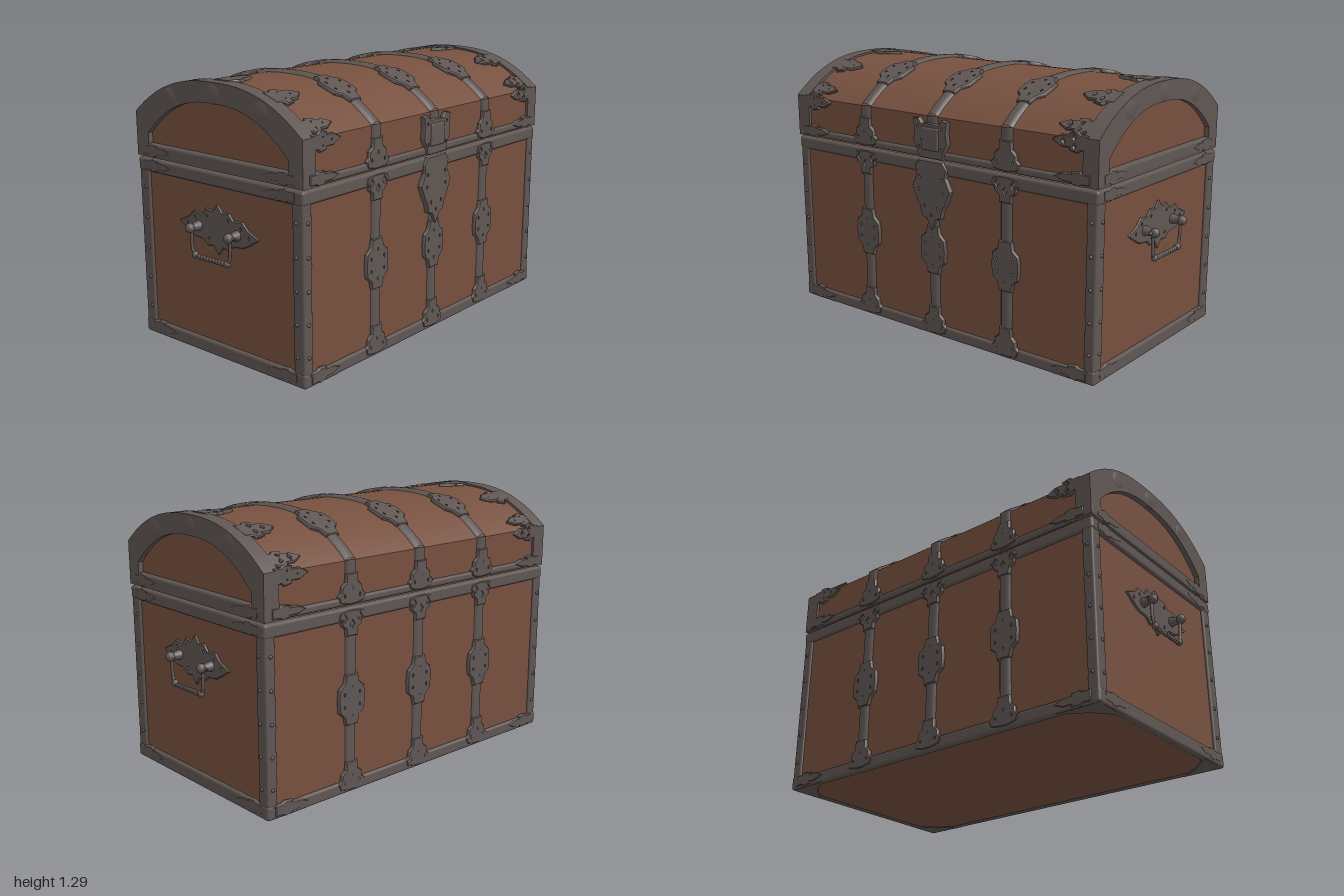
import * as THREE from 'three';
import { toCreasedNormals } from 'three/addons/utils/BufferGeometryUtils.js';
import { RoundedBoxGeometry } from 'three/addons/geometries/RoundedBoxGeometry.js';

const wood = new THREE.MeshStandardMaterial({ color: 0x76503f });
wood.name = 'brown wood';
const iron = new THREE.MeshStandardMaterial({ color: 0x5f5653, side: THREE.DoubleSide });
iron.name = 'dark iron';

const X = 0.915, Z = 0.517; // wooden half width and half depth

// Height of the lid's arch at depth z
const arch = (z) => 1.09 + 0.185 * (1 - Math.min(1, Math.abs(z) / Z) ** 2.5);

// Each map places (u across, v up, d outward) on one face of the chest
const faces = {
  front: (u, v, d) => [u, v, Z + d],
  back: (u, v, d) => [-u, v, -Z - d],
  right: (u, v, d) => [X + d, v, -u],
  left: (u, v, d) => [-X - d, v, u],
  under: (u, v, d) => [u, 0.005 - d, v],
  lid: (u, v, d) => {
    const slope = (arch(-v + 0.005) - arch(-v - 0.005)) / 0.01;
    const k = d / Math.hypot(1, slope);
    return [u, arch(-v) + k, -v - slope * k];
  },
};

export function createModel() {
  const chest = new THREE.Group();
  chest.name = 'chest';

  const add = (name, geo, mat = iron, x = 0, y = 0, z = 0, parent = chest) => {
    const mesh = new THREE.Mesh(geo, mat);
    mesh.name = name;
    mesh.position.set(x, y, z);
    parent.add(mesh);
    return mesh;
  };

  // Bend a geometry from (u, v, d) space onto a face
  const onFace = (name, geo, face) => {
    const p = geo.attributes.position;
    for (let i = 0; i < p.count; i++) {
      p.setXYZ(i, ...faces[face](p.getX(i), p.getY(i), p.getZ(i)));
    }
    geo.computeVertexNormals();
    return add(name, toCreasedNormals(geo, 0.7));
  };

  // Domed strap running along v
  const strap = (name, face, u, v0, v1, width, bulge, steps = 1) => {
    const geo = new THREE.PlaneGeometry(width, v1 - v0, 6, steps);
    const p = geo.attributes.position;
    for (let i = 0; i < p.count; i++) {
      const k = p.getX(i) / (width / 2);
      p.setZ(i, bulge * (1 - k ** 4) - 0.003);
    }
    geo.translate(u, (v0 + v1) / 2, 0);
    return onFace(name, geo, face);
  };

  // Cut plate with small diamond holes
  const plate = (name, face, outline, holes, u, v, { sx = 1, sy = 1, depth = 0.012, hole = 0.011 } = {}) => {
    const shape = new THREE.Shape(outline.map(([a, b]) => new THREE.Vector2(a * sx, b * sy)));
    for (const [a, b] of holes) {
      const h = [[0, 1.4], [1, 0], [0, -1.4], [-1, 0]];
      shape.holes.push(new THREE.Path(h.map(([i, j]) =>
        new THREE.Vector2(a * sx + i * hole, b * sy + j * hole))));
    }
    const geo = new THREE.ExtrudeGeometry(shape, {
      depth, bevelThickness: 0.005, bevelSize: 0.004, bevelOffset: -0.004, bevelSegments: 1,
    });
    geo.translate(u, v, 0);
    return onFace(name, geo, face);
  };

  // Mirror helpers for outlines
  const mirrorU = (pts) => [...pts, ...pts.map(([a, b]) => [-a, b]).reverse()];
  const mirrorV = (pts) => [...pts, ...pts.map(([a, b]) => [a, -b]).reverse()];

  const medallion = mirrorU([[0.036, 0.12], [0.045, 0.08], [0.075, 0.055], [0.08, 0],
    [0.075, -0.055], [0.045, -0.08], [0.036, -0.12]]);
  const medallionHoles = [[0.046, 0.03], [-0.046, 0.03], [0.046, -0.03], [-0.046, -0.03], [0, 0.07], [0, -0.07]];
  const fan = mirrorU([[0.034, 0.13], [0.036, 0.09], [0.06, 0.07], [0.062, 0.045], [0.08, 0.03], [0.07, 0], [0.02, -0.01]]);
  const fanHoles = [[0.045, 0.03], [-0.045, 0.03], [0, 0.065]];
  const leaf = mirrorV([[-0.02, 0.045], [0.02, 0.045], [0.035, 0.062], [0.08, 0.05], [0.075, 0.035],
    [0.12, 0.035], [0.165, 0.003]]);
  const leafHoles = [[0.05, 0.025], [0.05, -0.025], [0.105, 0]];

  // Wooden body and arched lid
  add('body', new THREE.BoxGeometry(2 * X, 0.873, 2 * Z), wood, 0, 0.4415, 0);
  const section = (half, base, inset) => {
    const pts = [[half, base]];
    for (let i = 0; i <= 32; i++) {
      const z = Z * Math.cos((i / 32) * Math.PI);
      pts.push([z * half / Z, arch(z) + inset]);
    }
    pts.push([-half, base]);
    return pts.map(([a, b]) => new THREE.Vector2(a, b));
  };
  const alongX = (shape, depth) => toCreasedNormals(
    new THREE.ExtrudeGeometry(shape, { depth, bevelEnabled: false }).translate(0, 0, -depth / 2).rotateY(Math.PI / 2), 0.6);
  add('lid', alongX(new THREE.Shape(section(Z, 0.889, 0)), 1.81), wood);

  // Arched iron rims at both lid ends
  for (const s of [1, -1]) {
    const rim = new THREE.Shape(section(0.53, 0.889, 0.009));
    rim.holes.push(new THREE.Path(section(0.447, 0.92, -0.085)));
    add('lidRim', alongX(rim, 0.08), iron, s * 0.89, 0, 0);
    for (const z of [-0.29, 0, 0.29]) {
      const knob = add('rimKnob', new THREE.SphereGeometry(0.05, 12, 8), iron, s * 0.925, arch(z) - 0.042, z);
      knob.scale.set(0.2, 0.95, 1);
    }
  }

  // Rails around the body and lid, and the corner posts
  for (const [name, y, h, hSide] of [['bottomRail', 0.035, 0.06, 0.07], ['bodyTopRail', 0.849, 0.064, 0.064], ['lidRail', 0.909, 0.038, 0.064]]) {
    for (const s of [1, -1]) {
      const low = y - (name === 'bottomRail' ? 0.035 : h / 2);
      add(name, new RoundedBoxGeometry(1.86, h, 0.04, 3, 0.014), iron, 0, low + h / 2, s * 0.51);
      add(name, new RoundedBoxGeometry(0.04, hSide, 1.06, 3, 0.014), iron, s * 0.911, low + hSide / 2, 0);
    }
  }
  for (const sx of [1, -1]) for (const sz of [1, -1]) {
    add('cornerPost', new RoundedBoxGeometry(0.055, 0.84, 0.066, 3, 0.01), iron, sx * 0.9, 0.43, sz * 0.494);
    for (const y of [0.14, 0.29, 0.44, 0.59, 0.74]) {
      add('stud', new THREE.SphereGeometry(0.009, 8, 6), iron, sx * 0.927, y, sz * 0.485);
      add('stud', new THREE.SphereGeometry(0.009, 8, 6), iron, sx * 0.9, y, sz * 0.527);
    }
    // Foot bracket beneath each corner
    plate('footBracket', 'under', [[0, 0], [-0.22 * sx, 0], [-0.1 * sx, -0.08 * sz], [0, -0.19 * sz]], [],
      0.925 * sx, 0.525 * sz, { depth: 0.0005 }).position.y = 0.001;
  }

  // Three straps over the lid and down both faces, with pierced ornaments
  for (const x of [-0.44, 0, 0.44]) {
    strap('lidStrap', 'lid', x, -Z, Z, 0.07, 0.016, 40);
    for (const v of [-0.29, 0.29]) plate('lidMedallion', 'lid', medallion, medallionHoles, x, v, { sy: 0.9 });
    for (const face of ['front', 'back']) {
      strap('bodyStrap', face, x, 0.02, 0.87, 0.07, 0.016);
      strap('lidFaceStrap', face, x, 0.892, 1.095, 0.07, 0.016);
      plate('footOrnament', face, fan, fanHoles, x, 0.022);
      if (face === 'front' && x === 0) continue;
      plate('bodyMedallion', face, medallion, medallionHoles, x, 0.45);
      plate('topOrnament', face, fan, fanHoles, x, 0.86, { sy: -0.85 });
      plate('lidOrnament', face, fan, fanHoles, x, 0.905);
    }
  }
  plate('bodyMedallion', 'front', medallion, medallionHoles, 0, 0.44);

  // Lock: hasp on the lid and pointed plate on the body
  plate('hasp', 'front', mirrorU([[0.02, 0.17], [0.05, 0.165], [0.07, 0.19], [0.108, 0.185], [0.1, 0.13],
    [0.108, 0.08], [0.085, 0.04], [0.075, 0]]), [[0.075, 0.15], [-0.075, 0.15], [0.07, 0.05], [-0.07, 0.05]],
    0, 0.89, { depth: 0.018 });
  add('haspBoss', new RoundedBoxGeometry(0.11, 0.11, 0.02, 3, 0.009), iron, 0, 0.985, 0.537);
  plate('lockPlate', 'front', mirrorU([[0.075, 0.165], [0.1, 0.13], [0.09, 0.09], [0.122, 0.03], [0.09, -0.04],
    [0.075, -0.06], [0.06, -0.11], [0.03, -0.12], [0.005, -0.17]]),
    [[0.07, 0.08], [-0.07, 0.08], [0.075, 0.02], [-0.075, 0.02], [0.04, -0.06], [-0.04, -0.06], [0, -0.1]],
    0, 0.715, { depth: 0.018 });

  // Leaf-shaped claws at the ends of the lid and the corners
  for (const s of [1, -1]) {
    for (const v of [-0.47, -0.29, 0, 0.29, 0.47]) {
      const edge = Math.abs(v) > 0.4;
      plate('lidLeaf', 'lid', leaf, leafHoles, s * 0.855, v, { sx: -s, sy: edge ? 0.6 : 1, depth: 0.008, hole: 0.008 });
    }
    for (const face of ['front', 'back']) {
      plate('sideLeaf', face, leaf, leafHoles, s * 0.855, 1.075, { sx: -s, sy: 0.75, depth: 0.008, hole: 0.008 });
      plate('cornerLeaf', face, leaf, [], s * 0.87, 0.92, { sx: -s, sy: 0.52 });
      plate('footLeaf', face, leaf, [], s * 0.87, 0.038, { sx: -s, sy: 0.58 });
    }
    for (const face of ['left', 'right']) for (const y of [0.922, 0.85, 0.042]) {
      plate('endLeaf', face, leaf, [], s * 0.465, y, { sx: -s, sy: 0.52 });
    }
  }

  // Drop handles on both ends
  const backplate = mirrorU([[0.005, 0.115], [0.03, 0.085], [0.075, 0.09], [0.1, 0.06], [0.16, 0.065], [0.19, 0.035],
    [0.26, 0.003], [0.2, -0.035], [0.16, -0.055], [0.1, -0.06], [0.07, -0.085], [0.03, -0.08], [0.005, -0.115]]);
  const plateHoles = [[0.2, 0], [-0.2, 0], [0.15, 0.035], [-0.15, 0.035], [0.07, 0.055], [-0.07, 0.055], [0.06, -0.05], [-0.06, -0.05]];
  for (const s of [1, -1]) {
    plate('handlePlate', s > 0 ? 'right' : 'left', backplate, plateHoles, 0, 0.615, { depth: 0.004 });
    const handle = new THREE.Group();
    handle.name = 'handle';
    handle.position.set(s * 0.968, 0, 0);
    chest.add(handle);
    for (const z of [-0.125, 0.125]) {
      const post = new THREE.CylinderGeometry(0.012, 0.026, 0.07, 10).rotateZ(-s * Math.PI / 2);
      add('handlePost', post, iron, -s * 0.015, 0.615, z, handle);
      add('postKnob', new THREE.SphereGeometry(0.023, 12, 8), iron, s * 0.009, 0.615, z, handle);
      add('postTip', new THREE.ConeGeometry(0.01, 0.03, 8).rotateX(Math.sign(z) * Math.PI / 2), iron, 0, 0.615, z * 1.24, handle);
      add('gripCollar', new THREE.SphereGeometry(0.017, 10, 8), iron, 0, 0.49, z * 0.84, handle);
    }
    const path = [[0.615, 0.125], [0.55, 0.125], [0.505, 0.117], [0.487, 0.09], [0.485, 0],
      [0.487, -0.09], [0.505, -0.117], [0.55, -0.125], [0.615, -0.125]];
    const curve = new THREE.CatmullRomCurve3(path.map(([y, z]) => new THREE.Vector3(0, y, z)));
    add('bail', new THREE.TubeGeometry(curve, 40, 0.008, 8), iron, 0, 0, 0, handle);
    for (let i = -4; i <= 4; i++) {
      const twist = add('gripTwist', new THREE.SphereGeometry(0.011, 8, 6), iron, 0, 0.486, i * 0.019, handle);
      twist.scale.z = 1.5;
      twist.rotation.x = 0.5;
    }
  }
  return chest;
}
